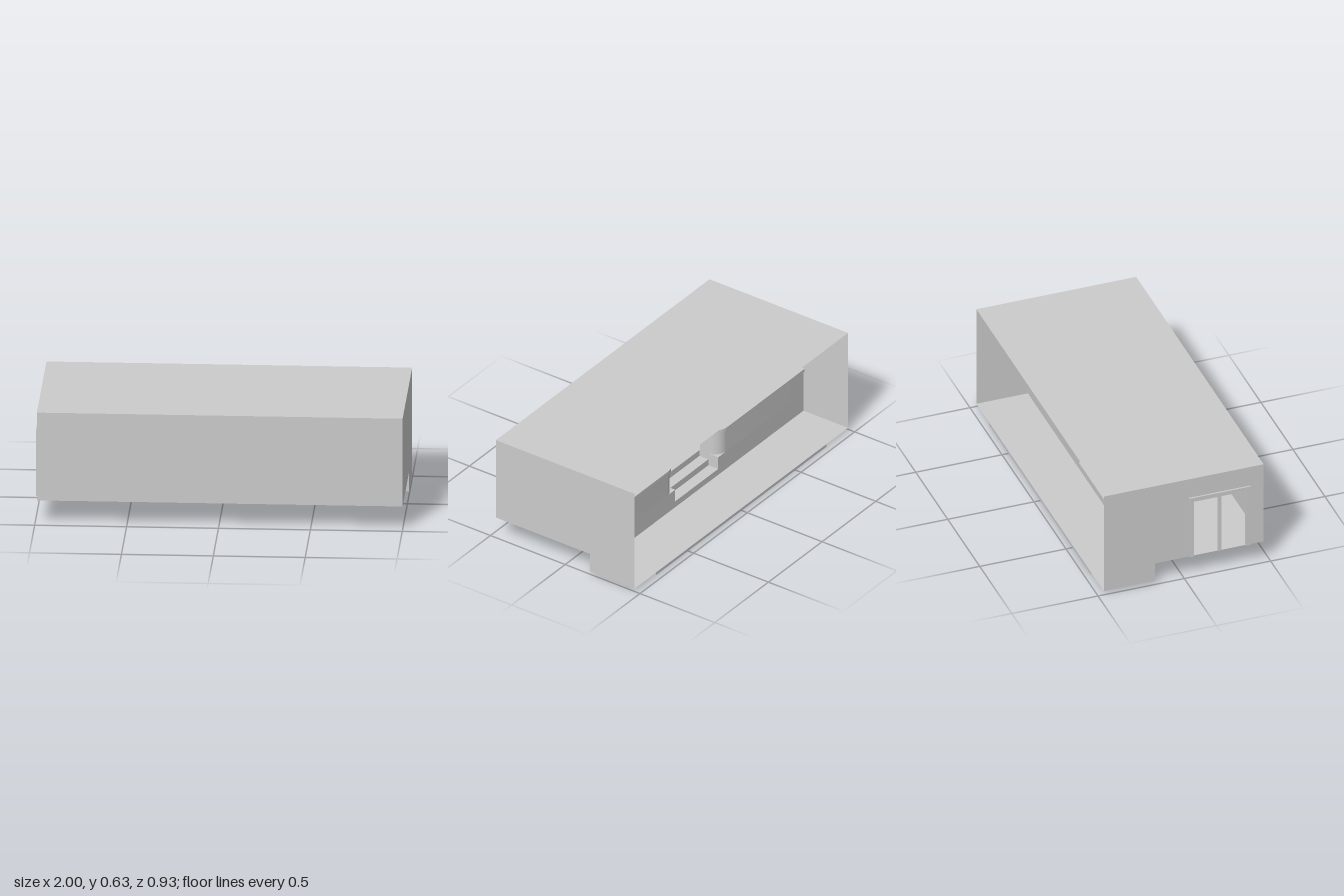
import * as THREE from 'three';
import { toCreasedNormals } from 'three/addons/utils/BufferGeometryUtils.js';

const material = new THREE.MeshStandardMaterial({ color: 0xcccccc, side: THREE.DoubleSide });

// Main levels and depths
const W = 0.995, TOP = 0.63, FLOOR = 0.13, LOW = 0.017;
const FRONT = 0.463, BACK = -0.463, EDGE = -0.165;
const STEP_W = 0.2, STEP_Z = -0.04;
const STEPS = [[STEP_Z, FLOOR], [STEP_Z, 0.093], [-0.1, 0.093], [-0.1, 0.055], [EDGE, 0.055], [EDGE, LOW]];

function add(parent, name, geometry) {
  const mesh = new THREE.Mesh(geometry, material);
  mesh.name = name;
  parent.add(mesh);
  return mesh;
}

// Folded sheet: a [z, y] profile swept from x0 to x1
function sheet(profile, x0, x1) {
  const g = new THREE.PlaneGeometry(1, 1, 1, profile.length - 1);
  const p = g.attributes.position;
  profile.forEach(([z, y], i) => {
    p.setXYZ(2 * i, x0, y, z);
    p.setXYZ(2 * i + 1, x1, y, z);
  });
  const flat = g.toNonIndexed();
  flat.computeVertexNormals();
  return flat;
}

// Flat panel in the z-y plane at a given x, with an optional hole
function sidePanel(outline, x, hole) {
  const points = (list) => list.map(([z, y]) => new THREE.Vector2(-z, y));
  const shape = new THREE.Shape(points(outline));
  if (hole) shape.holes.push(new THREE.Path(points(hole)));
  return new THREE.ShapeGeometry(shape).rotateY(Math.PI / 2).translate(x, 0, 0);
}

// Plan shape (x, z) raised from y0 to y1, mirrored by s
function raise(shape, y0, y1, s = 1) {
  const plan = new THREE.Shape(shape.getPoints(12).map((v) => new THREE.Vector2(v.x * s, v.y)));
  const g = new THREE.ExtrudeGeometry(plan, { depth: y1 - y0, bevelEnabled: false });
  return toCreasedNormals(g.rotateX(Math.PI / 2).translate(0, y1, 0), 0.6);
}

// Balustrade plan: along the floor edge, then round the corner beside the steps
function balustradePlan(h, end) {
  const cx = 0.275, r = 0.065, z = EDGE + 0.01, cz = z + r;
  const s = new THREE.Shape();
  s.moveTo(W, z - h);
  s.lineTo(cx, z - h);
  s.absarc(cx, cz, r + h, -Math.PI / 2, -Math.PI, true);
  s.lineTo(cx - r - h, end);
  s.lineTo(cx - r + h, end);
  s.absarc(cx, cz, r - h, -Math.PI, -Math.PI / 2, false);
  s.lineTo(W, z + h);
  return s;
}

// Counter plan with rounded corners, its back to the front wall
function counterPlan(half, zNear, r) {
  const s = new THREE.Shape();
  s.moveTo(-half, FRONT - 0.005);
  s.lineTo(-half, zNear + r);
  s.absarc(-half + r, zNear + r, r, Math.PI, 1.5 * Math.PI, false);
  s.lineTo(half - r, zNear);
  s.absarc(half - r, zNear + r, r, 1.5 * Math.PI, 2 * Math.PI, false);
  s.lineTo(half, FRONT - 0.005);
  return s;
}

export function createModel() {
  const model = new THREE.Group();
  model.name = 'splitLevelRoom';
  const room = new THREE.Group();
  room.name = 'room';
  room.position.x = 0.005;
  model.add(room);

  // Ceiling, front wall and upper floor
  add(room, 'ceilingWallAndUpperFloor',
    sheet([[BACK, TOP], [FRONT, TOP], [FRONT, FLOOR], [STEP_Z, FLOOR]], -W, W));

  // Upper floor edge and riser on both sides of the steps
  for (const s of [-1, 1]) {
    add(room, 'floorEdge', sheet([[STEP_Z, FLOOR], [EDGE, FLOOR], [EDGE, LOW]], s * STEP_W, s * W));
    add(room, 'stepCheek', sidePanel([...STEPS.slice(0, 5), [EDGE, FLOOR]], s * STEP_W));
  }
  add(room, 'steps', sheet(STEPS, -STEP_W, STEP_W));
  add(room, 'lowerFloor', sheet([[EDGE, LOW], [BACK, LOW]], -W, W));
  add(room, 'backSill', sheet([[BACK, LOW], [BACK, 0]], -0.795, 0.795));

  // End walls, one with the doorway
  const end = [[FRONT, TOP], [BACK, TOP], [BACK, LOW], [EDGE, LOW], [EDGE, FLOOR], [FRONT, FLOOR]];
  const z0 = 0.03, z1 = 0.385, doorTop = 0.51, bar = 0.025;
  const opening = [[z0 + 0.01, FLOOR + 0.001], [z1 - 0.01, FLOOR + 0.001],
    [z1 - 0.01, doorTop - 0.01], [z0 + 0.01, doorTop - 0.01]];
  add(room, 'leftWall', sidePanel(end, W));
  add(room, 'rightWall', sidePanel(end, -W, opening));

  // Door frame: posts, centre mullion and head
  const door = new THREE.Group();
  door.name = 'doorFrame';
  room.add(door);
  const mid = (z0 + z1) / 2, height = doorTop - FLOOR;
  for (const [z, w, d] of [[z0 + bar / 2, bar, 0.02], [mid, 0.018, 0.012], [z1 - bar / 2, bar, 0.02]]) {
    add(door, 'doorPost', new THREE.BoxGeometry(d, height, w)).position.set(-W, FLOOR + height / 2, z);
  }
  add(door, 'doorHead', new THREE.BoxGeometry(0.02, bar, z1 - z0))
    .position.set(-W, doorTop - bar / 2, mid);

  // Curved balustrades with overhanging caps
  for (const s of [-1, 1]) {
    add(room, 'balustrade', raise(balustradePlan(0.01, -0.045), FLOOR, 0.272, s));
    add(room, 'balustradeCap', raise(balustradePlan(0.018, -0.04), 0.272, 0.29, s));
  }

  // Counter against the front wall
  add(room, 'counter', raise(counterPlan(0.36, 0.25, 0.06), FLOOR, 0.28));
  return model;
}
